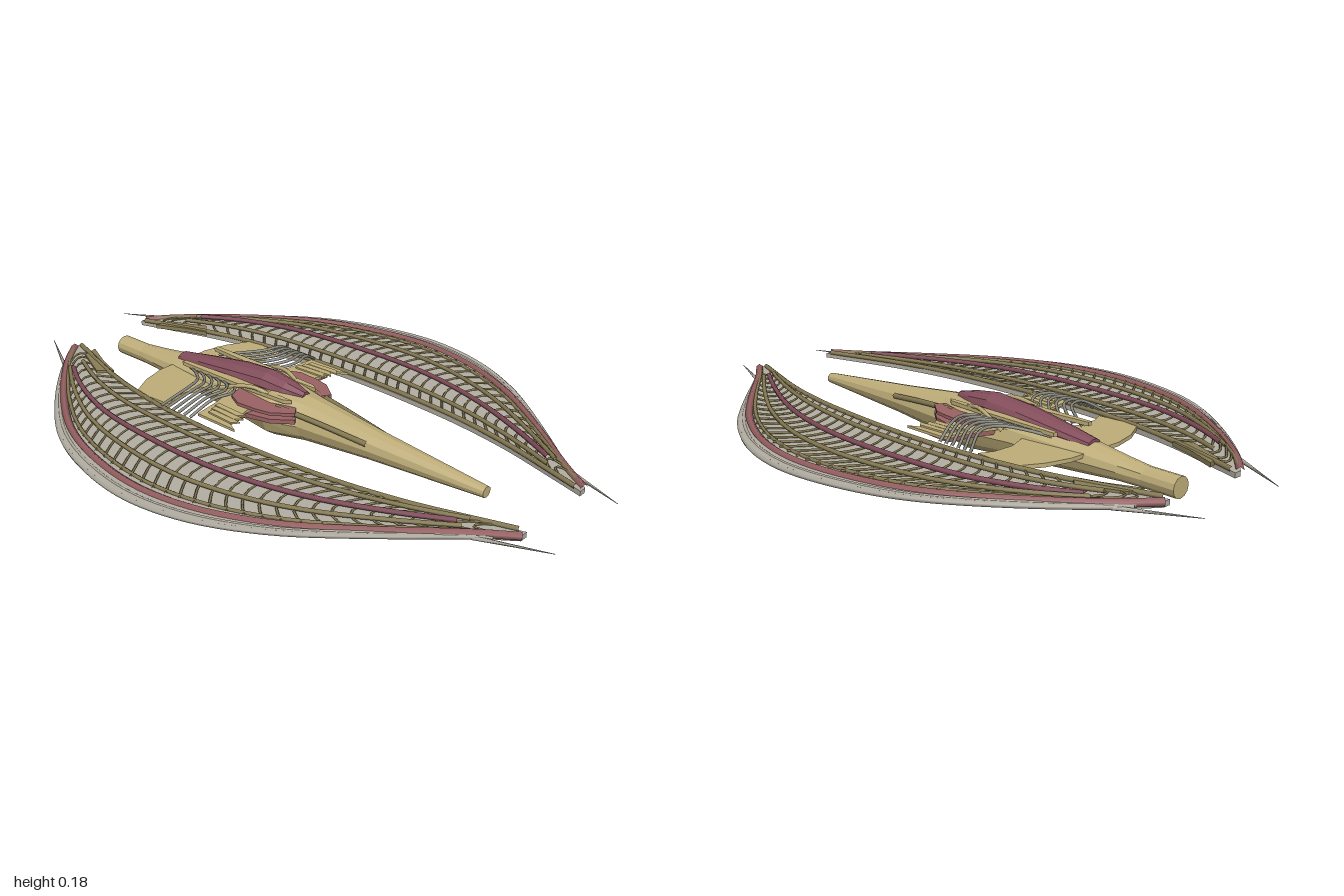
import * as THREE from 'three';
import { mergeGeometries } from 'three/addons/utils/BufferGeometryUtils.js';

const mat = (name, color) => Object.assign(new THREE.MeshStandardMaterial({ color }), { name });
const V = (x, y, z) => new THREE.Vector3(x, y, z);

// Closed loft along z; each ring is [z, halfWidth, yBottom, yTop]
function loft(rings, sides) {
  const pos = [], idx = [];
  for (const [z, w, y0, y1] of rings)
    for (let j = 0; j < sides; j++) {
      const a = (j / sides) * Math.PI * 2;
      pos.push(w * Math.cos(a), (y0 + y1) / 2 + ((y1 - y0) / 2) * Math.sin(a), z);
    }
  const n = rings.length, front = n * sides, back = front + 1;
  for (const r of [rings[0], rings[n - 1]]) pos.push(0, (r[2] + r[3]) / 2, r[0]);
  for (let j = 0; j < sides; j++) {
    const k = (j + 1) % sides, e = (n - 1) * sides;
    for (let i = 0; i < n - 1; i++) {
      const a = i * sides + j, b = i * sides + k;
      idx.push(a, a + sides, b, b, a + sides, b + sides);
    }
    idx.push(front, j, k, back, e + k, e + j);
  }
  const g = new THREE.BufferGeometry();
  g.setAttribute('position', new THREE.Float32BufferAttribute(pos, 3));
  g.setIndex(idx);
  const flat = g.toNonIndexed();
  flat.computeVertexNormals();
  return flat;
}

// Flat horizontal plate from an outline of [x, z] pairs
function plate(outline, y, thick, s) {
  const shape = new THREE.Shape(outline.map(([x, z]) => new THREE.Vector2(x * s, -z)));
  const g = new THREE.ExtrudeGeometry(shape, { depth: thick, bevelEnabled: false });
  return g.rotateX(-Math.PI / 2).translate(0, y, 0);
}

const tube = (pts, r, seg, sides = 5) =>
  new THREE.TubeGeometry(new THREE.CatmullRomCurve3(pts), seg, r, sides, false);

// Wing outline: [z, inner x, outer x]
const stations = [
  [-0.88, 0.14, 0.165], [-0.8, 0.165, 0.27], [-0.6, 0.225, 0.46], [-0.4, 0.262, 0.6], [-0.2, 0.28, 0.672],
  [0, 0.284, 0.697], [0.2, 0.276, 0.662], [0.4, 0.258, 0.565], [0.6, 0.222, 0.41], [0.8, 0.165, 0.235], [0.9, 0.135, 0.16],
];
const innerEdge = new THREE.CatmullRomCurve3(stations.map(([z, a]) => V(a, 0, z)));
const outerEdge = new THREE.CatmullRomCurve3(stations.map(([z, , b]) => V(b, 0, z)));
function wingPoint(u, t, y, s) {
  const p = innerEdge.getPoint(t).lerp(outerEdge.getPoint(t), u);
  return V(p.x * s, y, p.z);
}
// Spine along the wing at fraction u; drift moves its rear end outwards
function spine(u, t0, t1, y, r, s, drift = 0) {
  const pts = [];
  for (let i = 0; i <= 24; i++) {
    const k = i / 24, v = u + drift * Math.max(0, 1 - 2 * k) ** 2;
    pts.push(wingPoint(v, t0 + (t1 - t0) * k, y, s));
  }
  return tube(pts, r, 48);
}

export function createModel() {
  const tan = mat('tan hull', 0xbfae7a);
  const olive = mat('olive ribs', 0x8a7e56);
  const red = mat('dark red', 0x844e5c);
  const rust = mat('rust red', 0x9a6264);
  const grey = mat('wing grey', 0xb4afa3);
  const steel = mat('steel grey', 0x8a8a80);

  const model = new THREE.Group();
  model.name = 'spacecraft';
  const add = (parent, name, geo, material) => {
    const m = new THREE.Mesh(geo, material);
    m.name = name;
    parent.add(m);
  };

  // Faceted hull with round tail pipe
  add(model, 'hull', loft([
    [0.69, 0.019, 0.058, 0.092], [0.3, 0.05, 0.036, 0.128], [0.06, 0.075, 0.016, 0.154], [-0.05, 0.112, 0.004, 0.162],
    [-0.25, 0.088, 0.018, 0.155], [-0.5, 0.06, 0.036, 0.13], [-0.62, 0.044, 0.045, 0.115],
    [-0.7, 0.033, 0.045, 0.108], [-0.81, 0.033, 0.045, 0.108],
  ], 12), tan);

  // Canopy
  add(model, 'canopy', loft([
    [0.03, 0.018, 0.12, 0.166], [-0.04, 0.04, 0.12, 0.18], [-0.12, 0.05, 0.12, 0.19], [-0.25, 0.054, 0.12, 0.178],
    [-0.4, 0.042, 0.11, 0.155], [-0.51, 0.028, 0.1, 0.138],
  ], 10), red);

  for (const s of [1, -1]) {
    const side = s > 0 ? 'left' : 'right';
    const wing = new THREE.Group();
    wing.name = side + 'Wing';
    model.add(wing);

    // Crescent wing panel
    const outline = [];
    for (let i = 0; i <= 48; i++) { const p = innerEdge.getPoint(i / 48); outline.push([p.x, p.z]); }
    for (let i = 48; i >= 0; i--) { const p = outerEdge.getPoint(i / 48); outline.push([p.x, p.z]); }
    add(wing, 'wingPanel', plate(outline, 0.085, 0.016, s), grey);

    // Long spines that follow the crescent
    add(wing, 'oliveSpines', mergeGeometries([
      spine(0.02, 0.02, 0.98, 0.106, 0.008, s), spine(0.17, 0.13, 0.88, 0.112, 0.007, s, 0.2),
      spine(0.62, 0.13, 0.88, 0.11, 0.007, s, 0.12), spine(0.8, 0.03, 0.97, 0.104, 0.006, s),
    ]), olive);
    add(wing, 'redSpine', spine(0.41, 0.14, 0.87, 0.114, 0.008, s, 0.24), red);
    add(wing, 'redRim', spine(0.88, 0, 1, 0.1, 0.012, s), rust);

    // Bowed cross ribs
    const ribs = [];
    for (let i = 0; i < 36; i++) {
      const t = 0.12 + (0.81 * i) / 35, pts = [];
      for (let k = 0; k <= 6; k++) {
        const u = 0.03 + (0.8 * k) / 6;
        pts.push(wingPoint(u, t - 0.04 * Math.sin((u / 0.83) * Math.PI), 0.104, s));
      }
      ribs.push(tube(pts, 0.0038, 10, 4));
    }
    add(wing, 'crossRibs', mergeGeometries(ribs), olive);

    // Twin outer bows, with needle tips past both wing ends
    add(wing, 'outerBows', mergeGeometries([
      spine(0.95, 0.03, 0.97, 0.097, 0.007, s), spine(1, 0.06, 0.94, 0.093, 0.008, s),
    ]), grey);
    for (const [a, tipZ] of [[0.1, -1], [0.9, 1]]) {
      const p = wingPoint(1, a, 0.09, s), tip = V(0.16 * s, 0.09, tipZ), d = tip.clone().sub(p);
      const g = new THREE.CylinderGeometry(0.0008, 0.007, d.length(), 5);
      g.applyQuaternion(new THREE.Quaternion().setFromUnitVectors(V(0, 1, 0), d.clone().normalize()));
      g.translate(...p.clone().lerp(tip, 0.5).toArray());
      add(wing, 'needleTip', g, grey);
    }

    // Barbs at the rear wing end
    add(wing, 'rearBarb', plate([[0.14, -0.8], [0.19, -0.79], [0.25, -0.66], [0.21, -0.62], [0.185, -0.7]], 0.095, 0.014, s), olive);

    // Rear crescent arm joining hull to wing
    add(model, side + 'RearArm', plate([
      [0.02, -0.515], [0.1, -0.515], [0.18, -0.495], [0.265, -0.45], [0.255, -0.31], [0.21, -0.33], [0.14, -0.33], [0.02, -0.28],
    ], 0.095, 0.012, s), tan);

    // Feathered front arm over a red underplate
    add(model, side + 'FrontArm', plate([
      [0.04, -0.23], [0.16, -0.19], [0.26, -0.175], [0.262, -0.02], [0.235, -0.07], [0.2, -0.06], [0.15, -0.08], [0.05, -0.06],
    ], 0.114, 0.008, s), tan);
    add(model, side + 'Underplate', plate([
      [0.04, -0.22], [0.16, -0.18], [0.235, -0.165], [0.23, -0.08], [0.15, -0.085], [0.13, 0], [0.085, 0.06], [0.03, 0.02],
    ], 0.098, 0.014, s), rust);
    add(model, side + 'ShoulderPlate', plate([
      [0.03, -0.2], [0.12, -0.17], [0.145, -0.12], [0.14, -0.05], [0.13, 0], [0.085, 0.06], [0.03, 0.02],
    ], 0.124, 0.01, s), rust);
    for (let i = 0; i < 3; i++) {
      const x = 0.175 + i * 0.022, z = -0.17 + i * 0.008;
      add(model, side + 'ArmFeather', plate([[x, z], [x + 0.018, z], [x + 0.024, z + 0.1], [x + 0.004, z + 0.12]], 0.122, 0.005, s), tan);
    }

    // Long blades beside the canopy
    add(model, side + 'CanopyBlade', plate([[0.065, -0.43], [0.08, -0.43], [0.08, -0.2], [0.07, 0], [0.055, 0.02], [0.05, -0.2]], 0.142, 0.012, s), tan);
    add(model, side + 'NoseBlade', tube([V(0.08 * s, 0.13, -0.02), V(0.062 * s, 0.118, 0.13), V(0.042 * s, 0.1, 0.3)], 0.009, 8), olive);

    // Bent struts and arched hoses reaching the wing
    add(model, side + 'Strut', tube([V(0.05 * s, 0.13, -0.02), V(0.078 * s, 0.162, -0.12), V(0.11 * s, 0.125, -0.26)], 0.007, 10), tan);
    const hoses = [];
    for (let i = 0; i < 6; i++) {
      const z = -0.41 + i * 0.035;
      hoses.push(tube([
        V(0.065 * s, 0.135, z), V(0.1 * s, 0.148, z + 0.06), V(0.15 * s, 0.158, z + 0.12 - i * 0.006),
        V(0.21 * s, 0.156, z + 0.135 - i * 0.012), V(0.285 * s, 0.115, z + 0.1 - i * 0.01),
      ], 0.005, 16));
    }
    add(model, side + 'Hoses', mergeGeometries(hoses), steel);
  }
  return model;
}
